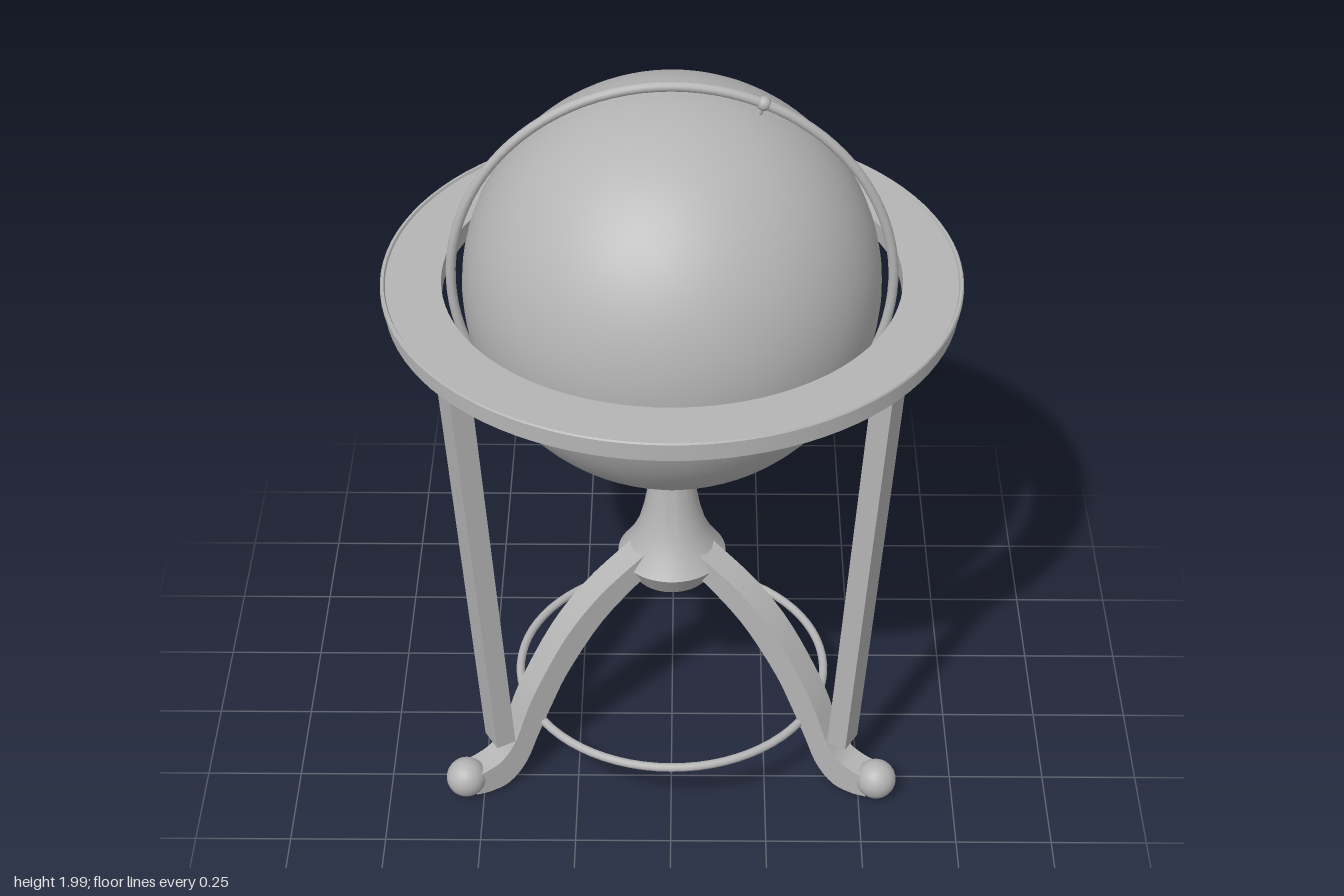
import * as THREE from 'three';
import { toCreasedNormals } from 'three/addons/utils/BufferGeometryUtils.js';

const CENTRE_Y = 1.438;
const TILT = THREE.MathUtils.degToRad(23.5);
const grey = new THREE.MeshStandardMaterial({ color: 0xb4b4b4 });
grey.name = 'grey';

const vec = ([x, y]) => new THREE.Vector2(x, y);

function add(parent, name, geometry, x = 0, y = 0, z = 0) {
  const mesh = new THREE.Mesh(geometry, grey);
  mesh.name = name;
  mesh.position.set(x, y, z);
  parent.add(mesh);
  return mesh;
}

const lathe = (points, segments) =>
  toCreasedNormals(new THREE.LatheGeometry(points.map(vec), segments), 0.5);

// Side outline in (radius, height), extruded to a width centred on the leg's plane
function slab(points, width) {
  const geometry = new THREE.ExtrudeGeometry(new THREE.Shape(points), {
    depth: width, bevelEnabled: false,
  });
  geometry.translate(0, 0, -width / 2);
  return toCreasedNormals(geometry, 0.5);
}

const smooth = (points, n) => new THREE.SplineCurve(points.map(vec)).getPoints(n);

export function createModel() {
  const model = new THREE.Group();
  model.name = 'floorGlobe';

  // Ball and the upright ring it hangs in
  add(model, 'globe', new THREE.SphereGeometry(0.519, 64, 48), 0, CENTRE_Y, 0);
  add(model, 'meridianRing', new THREE.TorusGeometry(0.548, 0.0125, 12, 96), 0, CENTRE_Y, 0);
  for (const s of [1, -1]) {
    const dx = Math.sin(TILT) * s, dy = Math.cos(TILT) * s;
    add(model, 'axisKnob', new THREE.SphereGeometry(0.018, 16, 12),
      dx * 0.548, CENTRE_Y + dy * 0.548, 0);
    const pin = add(model, 'axisPin', new THREE.CylinderGeometry(0.008, 0.008, 0.05, 12),
      dx * 0.53, CENTRE_Y + dy * 0.53, 0);
    pin.rotation.z = -TILT;
  }

  // Flat horizon ring with a small lip round the top edge
  add(model, 'horizonRing', lathe([
    [0.57, 1.412], [0.712, 1.412], [0.712, 1.45], [0.72, 1.453], [0.72, 1.462],
    [0.717, 1.466], [0.711, 1.466], [0.708, 1.46], [0.57, 1.46], [0.57, 1.412],
  ], 96));

  // Turned pedestal and the short stem under the upright ring
  add(model, 'pedestal', lathe([
    [0, 0.525], [0.103, 0.525], [0.142, 0.59], [0.112, 0.632], [0.089, 0.68],
    [0.074, 0.735], [0.066, 0.78], [0.06, 0.83], [0.09, 0.868], [0.09, 0.876], [0, 0.876],
  ], 48));
  add(model, 'stem', new THREE.CylinderGeometry(0.03, 0.03, 0.06, 24), 0, 0.89, 0);

  // Three curved legs, each with a ball foot and a leaning post
  const upper = smooth([
    [0.06, 0.655], [0.12, 0.625], [0.24, 0.55], [0.345, 0.445], [0.445, 0.285],
    [0.495, 0.165], [0.535, 0.11], [0.58, 0.09], [0.62, 0.085],
  ], 32);
  const lower = smooth([
    [0.62, 0.02], [0.575, 0.013], [0.52, 0.022], [0.47, 0.07], [0.432, 0.15],
    [0.388, 0.24], [0.335, 0.335], [0.235, 0.46], [0.12, 0.55], [0.06, 0.58],
  ], 32);
  const legShape = slab([...upper, ...lower].reverse(), 0.075);
  const postShape = slab(
    [[0.499, 0.155], [0.553, 0.155], [0.642, 1.415], [0.584, 1.415]].map(vec), 0.07);
  const ball = new THREE.SphereGeometry(0.053, 24, 16);
  for (const degrees of [90, 210, 330]) {
    const support = new THREE.Group();
    support.name = 'support';
    support.rotation.y = THREE.MathUtils.degToRad(degrees);
    add(support, 'leg', legShape);
    add(support, 'post', postShape);
    add(support, 'ballFoot', ball, 0.631, 0.06, 0);
    model.add(support);
  }

  // Thin ring tying the legs together
  const tie = add(model, 'lowerRing', new THREE.TorusGeometry(0.413, 0.0115, 12, 72), 0, 0.187, 0);
  tie.rotation.x = Math.PI / 2;

  return model;
}
